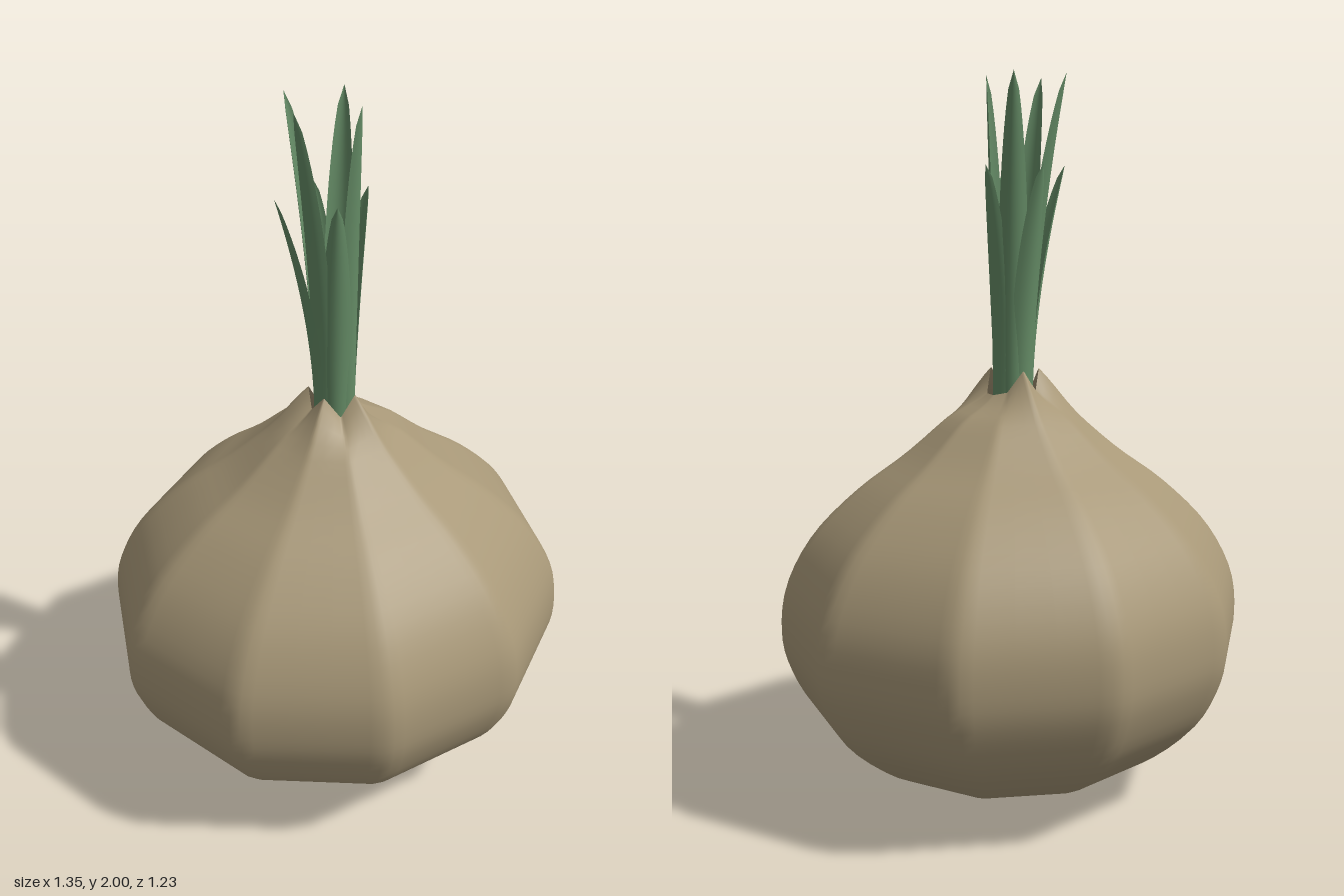
import * as THREE from 'three';

// Indexed surface from a grid of points; rows run upward
function gridSurface(rows, closed) {
  const n = rows[0].length, pos = [], index = [];
  rows.forEach(row => row.forEach(p => pos.push(p.x, p.y, p.z)));
  for (let r = 0; r < rows.length - 1; r++) {
    for (let i = 0; i < (closed ? n : n - 1); i++) {
      const a = r * n + i, b = r * n + (i + 1) % n;
      index.push(a, a + n, b, b, a + n, b + n);
    }
  }
  const g = new THREE.BufferGeometry();
  g.setAttribute('position', new THREE.Float32BufferAttribute(pos, 3));
  g.setIndex(index);
  g.computeVertexNormals();
  return g;
}

// Ten-sided bulb with softened corners and a torn, pointed neck
function makeBulb(material) {
  const SIDES = 10;
  const outline = new THREE.SplineCurve([
    [0.15, 0.005], [0.3, 0.045], [0.45, 0.115], [0.59, 0.235], [0.66, 0.36], [0.68, 0.47],
    [0.66, 0.6], [0.58, 0.74], [0.45, 0.865], [0.31, 0.965], [0.18, 1.075], [0.075, 1.17],
  ].map(p => new THREE.Vector2(...p)));
  const profile = [new THREE.Vector2(0, 0), new THREE.Vector2(0.14, 0), ...outline.getPoints(40)];
  const tips = [-0.04, -0.04, 0.03, -0.03, 0.03, -0.02, 0.03, -0.03, 0.03, -0.03];
  const steps = [0.04, 0.12, 0.37, 0.63, 0.88, 0.96];
  const corner = k => {
    const a = k * Math.PI * 2 / SIDES;
    return new THREE.Vector2(Math.cos(a), Math.sin(a) * 0.95);
  };
  const rows = profile.map(({ x: r, y }) => {
    const row = [];
    const lift = THREE.MathUtils.smoothstep(y, 1.05, 1.17);
    for (let k = 0; k < SIDES; k++) {
      for (const t of steps) {
        const c = corner(k).lerp(corner(k + 1), t);
        const tip = THREE.MathUtils.lerp(tips[k], tips[(k + 1) % SIDES], t);
        row.push(new THREE.Vector3(c.x * r, y + tip * lift, c.y * r));
      }
    }
    return row;
  });
  const mesh = new THREE.Mesh(gridSurface(rows, true), material);
  mesh.name = 'bulb';
  return mesh;
}

// Curved, tapering leaf that rises from the neck and leans out to its tip
function makeLeaf([tx, ty, tz], material) {
  const a = Math.atan2(tz, tx);
  const out = new THREE.Vector3(Math.cos(a), 0, Math.sin(a));
  const side = new THREE.Vector3(-out.z, 0, out.x);
  const base = out.clone().multiplyScalar(0.058).setY(1.12);
  const middle = out.clone().multiplyScalar(0.06).setY(1.12 + (ty - 1.12) * 0.45);
  const path = new THREE.QuadraticBezierCurve3(base, middle, new THREE.Vector3(tx, ty, tz));
  const rows = [];
  for (let i = 0; i <= 20; i++) {
    const t = i / 20, p = path.getPoint(t);
    const half = (0.034 + 0.008 * Math.sin(t * Math.PI)) * Math.sqrt(Math.max(0, 1 - t ** 3.5));
    const row = [];
    for (let j = -4; j <= 4; j++) {
      const s = j / 4;
      row.push(p.clone().addScaledVector(side, s * half).addScaledVector(out, -s * s * half * 0.5));
    }
    rows.push(row);
  }
  return new THREE.Mesh(gridSurface(rows, false), material);
}

export function createModel() {
  const model = new THREE.Group();
  model.name = 'onion';
  const skin = new THREE.MeshStandardMaterial({ color: 0xa89878, side: THREE.DoubleSide });
  const green = new THREE.MeshStandardMaterial({ color: 0x658c66, side: THREE.DoubleSide });
  model.add(makeBulb(skin));

  // Leaf tips: four tall, four short
  const tips = [
    [-0.065, 2, -0.14], [0.09, 2, -0.1], [-0.135, 2, 0.03], [0.035, 2, 0.07],
    [-0.15, 1.76, -0.05], [0.105, 1.76, -0.005], [-0.045, 1.76, 0.085], [0.01, 1.76, -0.13],
  ];
  const leaves = new THREE.Group();
  leaves.name = 'leaves';
  tips.forEach((tip, i) => {
    const leaf = makeLeaf(tip, green);
    leaf.name = 'leaf' + (i + 1);
    leaves.add(leaf);
  });
  model.add(leaves);
  return model;
}
